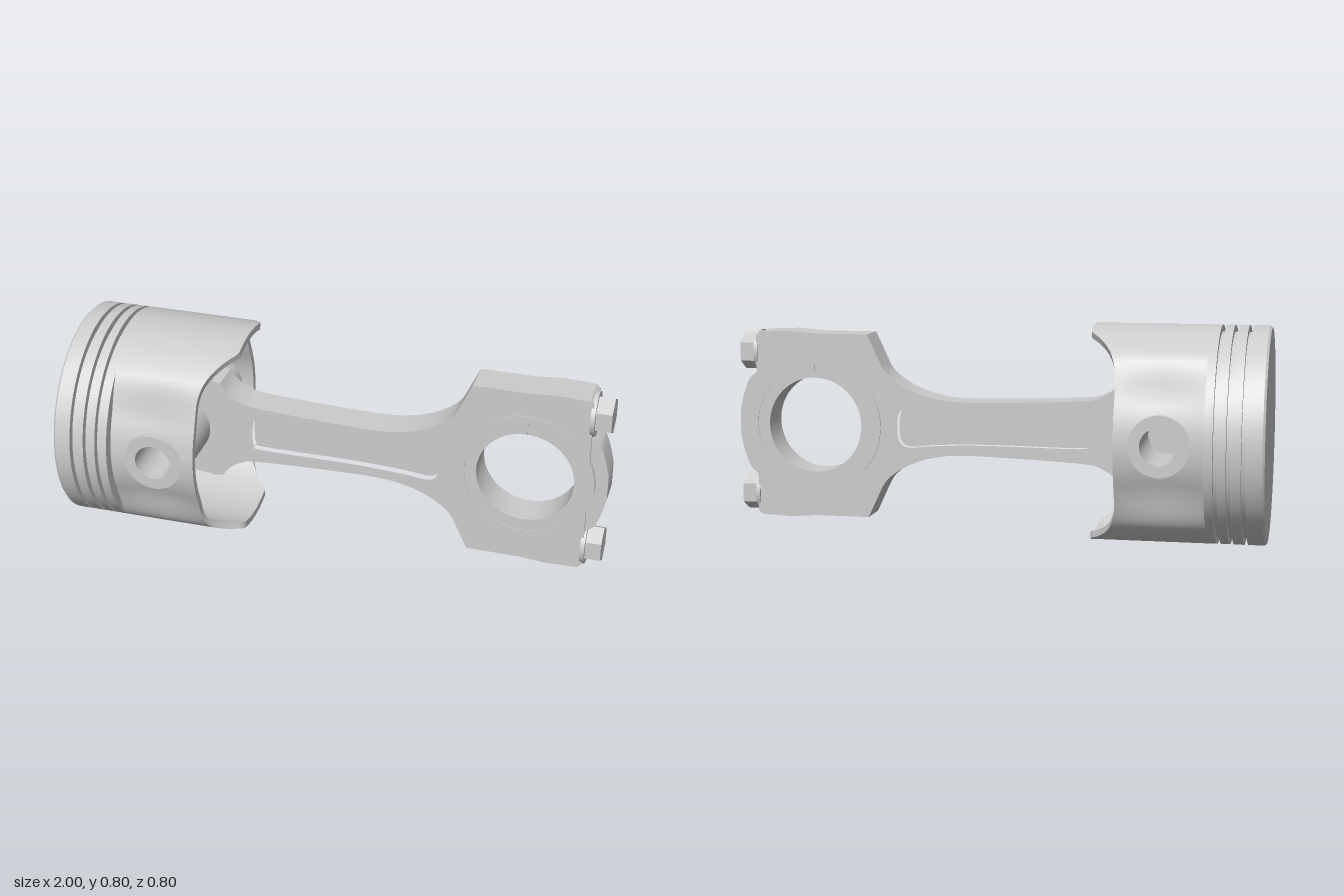
import * as THREE from 'three';
import { toCreasedNormals } from 'three/addons/utils/BufferGeometryUtils.js';

const MID = 0.4;                      // height of the common axis
const PIN_X = -0.63, BIG_X = 0.7;     // wrist pin and crank pin centres
const material = new THREE.MeshStandardMaterial({ color: 0xcccccc });

function add(parent, name, geometry, crease = 0.5) {
  const mesh = new THREE.Mesh(toCreasedNormals(geometry, crease), material);
  mesh.name = name;
  parent.add(mesh);
  return mesh;
}

const vectors = (list) => list.map(([x, y]) => new THREE.Vector2(x, y));
const lathe = (list, segments = 48) => new THREE.LatheGeometry(vectors(list), segments);

// Extrusion centred on z = 0
function plate(shape, depth) {
  return new THREE.ExtrudeGeometry(shape, { depth, bevelEnabled: false, curveSegments: 24 })
    .translate(0, 0, -depth / 2);
}

// Crown with three ring grooves, turned about the x axis
function crownGeometry() {
  const profile = [[0, -1], [0.392, -1], [0.4, -0.992]];
  for (const x of [-0.934, -0.882, -0.836]) {
    profile.push([0.4, x], [0.375, x], [0.375, x + 0.015], [0.4, x + 0.015]);
  }
  profile.push([0.4, -0.79], [0, -0.79]);
  return lathe(profile, 72).rotateZ(-Math.PI / 2);
}

// Thin skirt: drawn in at the pin sides, with longer tongues at top and bottom
function skirtGeometry() {
  const around = 144, along = 20, rows = 2 * along + 1, start = -0.795;
  const positions = [], index = [];
  for (let j = 0; j <= rows; j++) {
    const inner = j > along;
    const t = (inner ? rows - j : j) / along;
    for (let i = 0; i <= around; i++) {
      const a = (i / around) * Math.PI * 2;
      const s = Math.abs(Math.sin(a));
      const f = THREE.MathUtils.clamp((0.4 * s - 0.13) / 0.19, 0, 1);
      const end = -0.47 + 0.11 * (1 - f) ** 1.6;
      const x = start + (end - start) * t;
      const side = THREE.MathUtils.smoothstep(s, 0.62, 0.92);
      const r = 0.4 - side * (0.04 + 0.015 * Math.sin(Math.PI * t)) - (inner ? 0.025 : 0);
      positions.push(x, MID + r * Math.cos(a), r * Math.sin(a));
    }
  }
  for (let j = 0; j < rows; j++) {
    for (let i = 0; i < around; i++) {
      const a = j * (around + 1) + i, b = a + around + 1;
      // Leave the pin holes open
      const cx = (positions[3 * a] + positions[3 * b + 3]) / 2;
      const cy = (positions[3 * a + 1] + positions[3 * b + 4]) / 2;
      if (Math.abs(positions[3 * a + 2]) > 0.2 && Math.hypot(cx - PIN_X, cy - MID) < 0.085) continue;
      index.push(a, a + 1, b, a + 1, b + 1, b);
    }
  }
  const geometry = new THREE.BufferGeometry();
  geometry.setAttribute('position', new THREE.Float32BufferAttribute(positions, 3));
  geometry.setIndex(index);
  return geometry;
}

// Mirrored outline: upper half from left to right, then the lower half back
function mirrored(upper) {
  return vectors([...upper, ...upper.slice().reverse().map(([x, y]) => [x, -y])]);
}

// Smooth curve sampled through a few points
function smooth(points, count) {
  return new THREE.SplineCurve(vectors(points)).getPoints(count).map((p) => [p.x, p.y]);
}

function buildRod() {
  const rod = new THREE.Group();
  rod.name = 'connectingRod';
  rod.position.y = MID;
  rod.rotation.y = -0.01;

  // Body: small end, beam and big end block in one plate
  const outline = new THREE.Shape(mirrored([
    [-0.78, 0.08], [-0.7, 0.18], [-0.5, 0.205],
    ...smooth([[-0.465, 0.2], [-0.44, 0.165], [-0.39, 0.132], [-0.3, 0.115], [0.1, 0.1],
      [0.25, 0.114], [0.35, 0.15], [0.42, 0.2], [0.45, 0.25]], 32),
    [0.495, 0.347], [0.7, 0.347], [0.8, 0.355], [0.915, 0.35], [0.93, 0.335], [0.93, 0.2],
  ]));
  const slot = mirrored([
    ...smooth([[-0.342, 0.02], [-0.335, 0.05], [-0.3, 0.062], [0.05, 0.06],
      [0.25, 0.068], [0.33, 0.076], [0.368, 0.062], [0.38, 0.025]], 32),
  ]);
  const crankHole = new THREE.Path().absarc(BIG_X, 0, 0.2, 0, Math.PI * 2, true);
  outline.holes.push(new THREE.Path(slot), crankHole);
  const body = plate(outline, 0.125);
  const p = body.attributes.position;
  for (let i = 0; i < p.count; i++) p.setZ(i, p.getZ(i) * (1 + 0.09 * p.getX(i)));
  add(rod, 'rodBody', body);

  // Web at the bottom of both slots
  add(rod, 'beamWeb', plate(new THREE.Shape(slot), 0.07));

  // Narrow rib around the outside of the cap
  const rib = new THREE.Shape();
  const edge = smooth([[0.9, 0.22], [0.94, 0.19], [0.965, 0.165], [0.985, 0.11], [1, 0.05]], 16);
  rib.setFromPoints(mirrored(edge));
  rib.absarc(BIG_X, 0, 0.21, -1, 1, false);
  add(rod, 'capRib', plate(rib, 0.11));

  // Bearing shells with a stepped face
  const shell = [[0.18, -0.066], [0.225, -0.066], [0.225, -0.07], [0.255, -0.07]];
  const closed = [...shell, ...shell.slice().reverse().map(([r, y]) => [r, -y]), [0.18, -0.066]];
  add(rod, 'bearingShell', lathe(closed, 64).rotateX(Math.PI / 2).translate(BIG_X, 0, 0));

  for (const side of [1, -1]) {
    // Parting line between the rod and its cap
    for (const face of [1, -1]) {
      add(rod, 'partingLine', new THREE.BoxGeometry(0.004, 0.075, 0.002)
        .translate(BIG_X, side * 0.2175, face * 0.0702));
    }
    // Cap bolt: washer and hexagon head
    const bolt = new THREE.Group();
    bolt.name = 'capBolt';
    bolt.position.set(0.93, side * 0.272, 0.006);
    rod.add(bolt);
    add(bolt, 'washer', new THREE.CylinderGeometry(0.082, 0.082, 0.016, 32).rotateZ(-Math.PI / 2));
    add(bolt, 'hexHead', new THREE.CylinderGeometry(0.07, 0.07, 0.062, 6)
      .rotateY(Math.PI / 2).rotateZ(-Math.PI / 2).translate(0.035, 0, 0));
  }
  return rod;
}

export function createModel() {
  const model = new THREE.Group();
  model.name = 'pistonAndRod';

  const piston = new THREE.Group();
  piston.name = 'piston';
  model.add(piston);
  add(piston, 'crown', crownGeometry().translate(0, MID, 0));
  add(piston, 'skirt', skirtGeometry(), 0.8);

  // Hollow pin bosses, one on each side of the rod
  for (const side of [1, -1]) {
    const boss = lathe([[0.068, 0.06], [0.12, 0.06], [0.12, 0.31], [0.11, 0.31],
      [0.11, 0.352], [0.068, 0.352], [0.068, 0.06]], 40);
    add(piston, 'pinBoss', boss.rotateX(side * Math.PI / 2).translate(PIN_X, MID, 0));
  }

  model.add(buildRod());
  return model;
}
